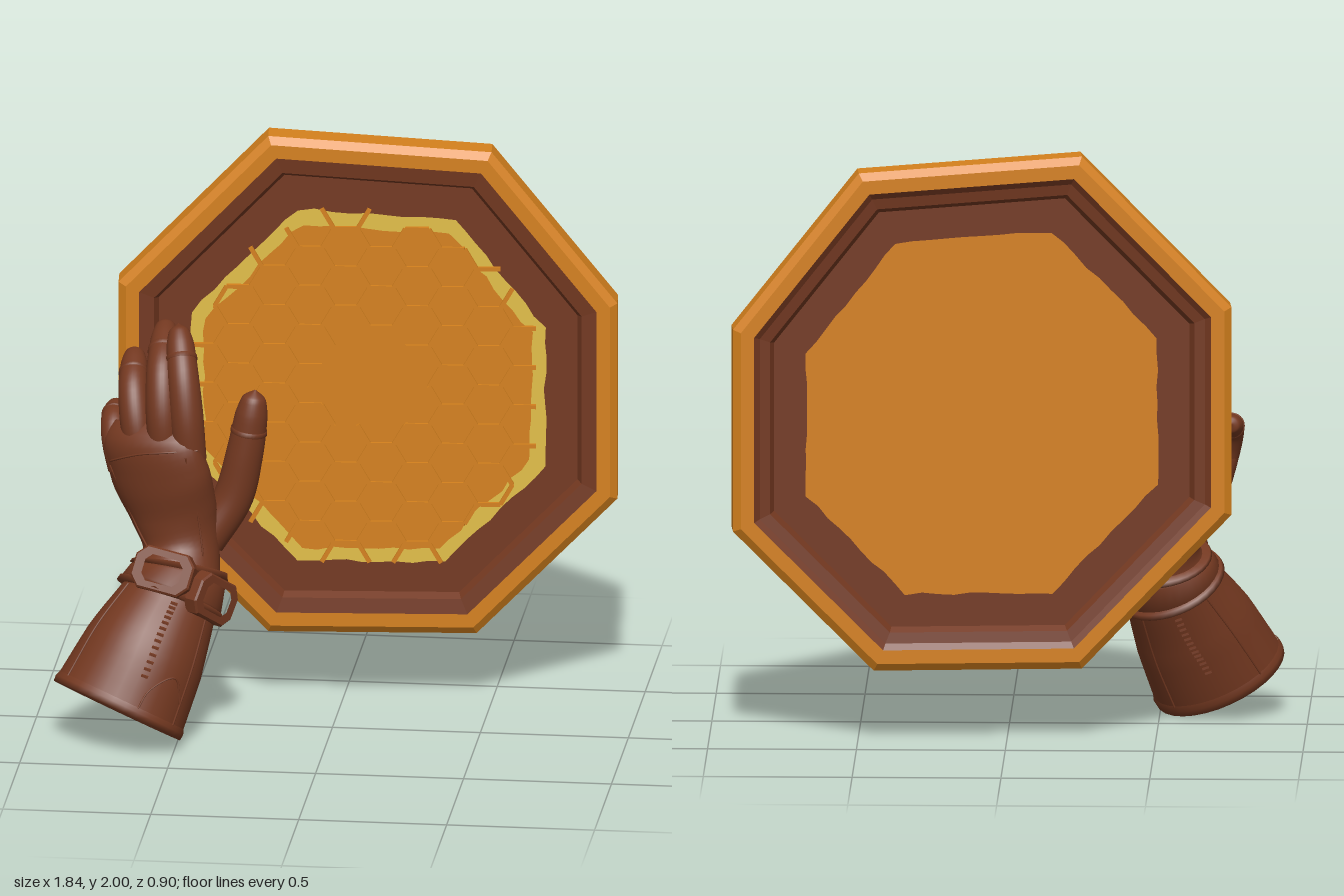
import * as THREE from 'three';
import { mergeGeometries } from 'three/addons/utils/BufferGeometryUtils.js';

const V3 = (x, y, z) => new THREE.Vector3(x, y, z);
const mat = (name, color, extra = {}) => {
  const m = new THREE.MeshStandardMaterial({ color, ...extra });
  m.name = name;
  return m;
};

// Octagon outline of the shield, in shield space (centred on x)
const OCT = [[-0.335, 2.0], [0.415, 1.95], [0.838, 1.42], [0.838, 0.73],
  [0.365, 0.25], [-0.335, 0.25], [-0.838, 0.77], [-0.838, 1.48]];
const CY = 1.12;
const octagon = s => OCT.map(([x, y]) => new THREE.Vector2(x * s, CY + (y - CY) * s));

// Facetted ring swept round the octagon; profile = [inset, z] from back to front
function octagonRing(profile) {
  const rings = profile.map(([inset, z]) => octagon(1 - inset / 0.84).map(p => [p.x, p.y, z]));
  const pos = [];
  for (let i = 0; i + 1 < rings.length; i++) for (let j = 0; j < 8; j++) {
    const k = (j + 1) % 8;
    const a = rings[i][j], b = rings[i][k], c = rings[i + 1][k], d = rings[i + 1][j];
    pos.push(...a, ...d, ...b, ...b, ...d, ...c);
  }
  const g = new THREE.BufferGeometry();
  g.setAttribute('position', new THREE.Float32BufferAttribute(pos, 3));
  g.computeVertexNormals();
  return g;
}

// Octagon face with a slightly uneven, hand-cut edge
function unevenOctagon(scale, wobble, seed) {
  let s = seed;
  const rnd = () => ((s = (s * 16807) % 2147483647) / 2147483647) - 0.5;
  const base = octagon(scale), pts = [];
  base.forEach((p, i) => {
    const q = base[(i + 1) % 8];
    for (let k = 0; k < 9; k++) {
      const v = p.clone().lerp(q, k / 9), f = 1 + rnd() * wobble;
      pts.push(new THREE.Vector2(v.x * f, CY + (v.y - CY) * f));
    }
  });
  return new THREE.ShapeGeometry(new THREE.Shape(pts));
}

function insideOctagon(x, y, s) {
  const p = octagon(s);
  return p.every((a, i) => {
    const b = p[(i + 1) % 8];
    return (b.x - a.x) * (y - a.y) - (b.y - a.y) * (x - a.x) < 0;
  });
}

// Raised honeycomb: one thin bar for each cell edge, with an open middle
function honeycomb() {
  const R = 0.08, bars = new Map();
  for (let i = -6; i <= 6; i++) for (let j = -6; j <= 6; j++) {
    const cx = 0.045 + i * 1.5 * R, cy = 1.12 + (j + (i & 1) / 2) * Math.sqrt(3) * R;
    for (let k = 0; k < 6; k++) {
      const a = (k + 0.5) * Math.PI / 3, d = R * Math.sqrt(3) / 2;
      const x = cx + d * Math.cos(a), y = cy + d * Math.sin(a);
      const key = `${Math.round(x * 200)},${Math.round(y * 200)}`;
      if (bars.has(key) || !insideOctagon(x, y, 0.69) || Math.hypot(x - 0.01, y - 1.14) < 0.19) continue;
      const g = new THREE.BoxGeometry(R, 0.014, 0.012);
      g.rotateZ(a + Math.PI / 2).translate(x, y, 0.041);
      bars.set(key, g);
    }
  }
  return mergeGeometries([...bars.values()]);
}

// Smooth limb through sections [x, y, z, half width, half depth, roll]
function limb(sections) {
  const path = new THREE.CatmullRomCurve3(sections.map(s => V3(s[0], s[1], s[2])));
  const size = new THREE.CatmullRomCurve3(sections.map(s => V3(s[3], s[4], s[5] || 0)));
  const frame = t => {
    const c = path.getPoint(t), T = path.getTangent(t), r = size.getPoint(t);
    const U = V3(1, 0, 0).addScaledVector(T, -T.x).normalize().applyAxisAngle(T, -r.z);
    return { c, T, U, V: U.clone().cross(T), rx: Math.max(r.x, 0.002), rz: Math.max(r.y, 0.002) };
  };
  const point = (t, a, off = 0) => {
    const f = frame(t);
    return f.c.addScaledVector(f.U, (f.rx + off) * Math.cos(a)).addScaledVector(f.V, (f.rz + off) * Math.sin(a));
  };
  // Skin through rows of [t, offset]
  const skin = (rows, n = 32) => {
    const pos = [], idx = [];
    rows.forEach(([t, off], i) => {
      for (let j = 0; j < n; j++) {
        pos.push(...point(t, j / n * Math.PI * 2, off).toArray());
        if (i + 1 === rows.length) continue;
        const a = i * n + j, b = i * n + (j + 1) % n;
        idx.push(a, a + n, b, b, a + n, b + n);
      }
    });
    const g = new THREE.BufferGeometry();
    g.setAttribute('position', new THREE.Float32BufferAttribute(pos, 3));
    g.setIndex(idx);
    g.computeVertexNormals();
    return g;
  };
  const body = (n = 40) => skin(Array.from({ length: n + 1 }, (_, i) => [i / n, 0]));
  const band = (t0, t1, off) => skin([[t0, -0.004], [t0 + (t1 - t0) * 0.15, off], [t1 - (t1 - t0) * 0.15, off], [t1, -0.004]]);
  const seam = (list, r) => new THREE.TubeGeometry(
    new THREE.CatmullRomCurve3(list.map(([t, a]) => point(t, a, 0.001))), 30, r, 6);
  return { frame, point, skin, body, band, seam };
}

const digit = (pts, r) => {
  const c = new THREE.CatmullRomCurve3(pts.map(p => V3(...p)));
  const us = [0, 0.3, 0.6, 0.84, 0.95, 1], fs = [1, 1.02, 0.95, 0.84, 0.6, 0.02];
  return limb(us.map((u, i) => [...c.getPoint(u).toArray(), r * fs[i], r * fs[i]]));
};

export function createModel() {
  const model = new THREE.Group();
  const amber = mat('amber', 0xd5811d), brown = mat('brown', 0x733820), yellow = mat('honey yellow', 0xe2be48);
  const lining = mat('dark lining', 0x664414, { side: THREE.DoubleSide });
  const add = (parent, name, geo, m) => {
    const mesh = new THREE.Mesh(geo, m);
    mesh.name = name;
    parent.add(mesh);
    return mesh;
  };

  // Shield
  const shield = new THREE.Group();
  shield.name = 'shield';
  shield.position.set(0.085, 0, -0.32);
  shield.rotation.y = 0.083;
  model.add(shield);
  add(shield, 'rim', octagonRing([[0.07, -0.065], [0.025, -0.065], [0, -0.045], [0, 0.045], [0.025, 0.065], [0.07, 0.065]]), amber);
  add(shield, 'frontFrame', octagonRing([[0.07, 0.065], [0.12, 0.06], [0.135, 0.03], [0.84, 0.03]]), brown);
  add(shield, 'backFrame', octagonRing([[0.84, -0.02], [0.14, -0.02], [0.125, -0.045], [0.09, -0.05], [0.07, -0.065]]), brown);
  add(shield, 'honeyEdge', unevenOctagon(0.71, 0.02, 7), yellow).position.set(0, -0.005, 0.033);
  add(shield, 'honeyPanel', unevenOctagon(0.655, 0.03, 23), amber).position.set(0, -0.005, 0.037);
  add(shield, 'honeycomb', honeycomb(), amber);
  // A half turn of the flat face, mirrored back on x so it keeps the outline
  const back = unevenOctagon(0.705, 0.015, 41);
  back.rotateY(Math.PI).scale(-1, 1, 1);
  const index = back.getIndex().array;
  for (let i = 0; i < index.length; i += 3) [index[i], index[i + 1]] = [index[i + 1], index[i]];
  back.computeVertexNormals();
  add(shield, 'backPanel', back, amber).position.z = -0.024;

  // Glove: flared cuff, wrist and palm in one skin
  const glove = new THREE.Group();
  glove.name = 'glove';
  model.add(glove);
  const arm = limb([
    [-0.70, 0.115, 0.25, 0.235, 0.205], [-0.615, 0.30, 0.175, 0.21, 0.19], [-0.545, 0.45, 0.09, 0.168, 0.155],
    [-0.515, 0.54, 0.045, 0.145, 0.135], [-0.51, 0.63, 0.01, 0.13, 0.11, 0.15], [-0.535, 0.74, 0, 0.155, 0.105, 0.3],
    [-0.58, 0.88, 0.015, 0.187, 0.095, 0.38], [-0.61, 0.99, 0.025, 0.18, 0.075, 0.38], [-0.61, 1.06, 0.01, 0.135, 0.03, 0.38]]);
  add(glove, 'cuffAndPalm', arm.body(), brown);
  add(glove, 'cuffHem', arm.skin([[0.03, -0.05], [0.012, -0.045], [0, -0.02], [0, 0.001], [0.012, 0.005], [0.022, 0.001]]), brown);
  add(glove, 'cuffLining', arm.skin([[0.02, -0.048], [0.1, -0.045], [0.2, -0.04], [0.22, -0.15]]), lining);
  add(glove, 'wristStrap', arm.band(0.27, 0.39, 0.018), brown);
  add(glove, 'strapLowerEdge', arm.band(0.255, 0.285, 0.024), brown);
  add(glove, 'strapUpperEdge', arm.band(0.38, 0.41, 0.026), brown);

  // Fingers and thumb
  const digits = {
    indexFinger: [[[-0.475, 0.95, 0.06], [-0.495, 1.18, 0.045], [-0.53, 1.38, -0.085]], 0.056],
    middleFinger: [[[-0.56, 0.95, 0.045], [-0.575, 1.2, 0.015], [-0.585, 1.35, -0.21]], 0.056],
    ringFinger: [[[-0.645, 0.93, 0.01], [-0.675, 1.13, -0.025], [-0.69, 1.25, -0.2]], 0.053],
    littleFinger: [[[-0.715, 0.88, -0.025], [-0.745, 1.01, -0.055], [-0.75, 1.06, -0.19]], 0.046],
    thumb: [[[-0.43, 0.64, -0.02], [-0.335, 0.8, -0.045], [-0.295, 0.98, -0.04], [-0.265, 1.17, -0.04]], 0.066],
  };
  for (const [name, [pts, r]] of Object.entries(digits)) {
    const d = digit(pts, r);
    add(glove, name, d.body(28), brown);
    add(glove, name + 'Seam', d.band(0.5, 0.53, 0.003), brown);
  }

  // Eight-sided strap buckles
  const outline = s => [[-0.1, 0.035], [-0.07, 0.068], [0.07, 0.068], [0.1, 0.035], [0.1, -0.035], [0.07, -0.068],
    [-0.07, -0.068], [-0.1, -0.035]].map(([x, y]) => new THREE.Vector2(x * s, y * s));
  const frameShape = new THREE.Shape(outline(1));
  frameShape.holes.push(new THREE.Path(outline(0.68)));
  const buckleGeo = new THREE.ExtrudeGeometry(frameShape, { depth: 0.045, bevelSize: 0.006, bevelThickness: 0.006, bevelSegments: 1 });
  for (const [name, t, a] of [['frontBuckle', 0.345, 1.75], ['sideBuckle', 0.31, 0.55]]) {
    const f = arm.frame(t);
    const out = f.U.clone().multiplyScalar(Math.cos(a)).addScaledVector(f.V, Math.sin(a));
    const side = f.T.clone().cross(out).normalize();
    const b = add(glove, name, buckleGeo, brown);
    b.quaternion.setFromRotationMatrix(new THREE.Matrix4().makeBasis(side, f.T, out));
    b.position.copy(arm.point(t, a, -0.012));
  }

  // Stitching and seams
  const seams = [
    [[0.02, 0.5], [0.13, 0.5], [0.25, 0.5]], [[0.02, 2.5], [0.13, 2.5], [0.25, 2.5]],
    [[0.02, 3.9], [0.13, 3.9], [0.25, 3.9]], [[0.02, 5.4], [0.13, 5.4], [0.25, 5.4]],
    [[0.06, 0.5], [0.1, 0.8], [0.06, 1.15], [0.02, 1.2]],
    [[0.84, 0.15], [0.86, 1.0], [0.86, 1.6], [0.84, 2.3], [0.81, 3.0]],
    [[0.45, 2.3], [0.6, 2.4], [0.82, 2.5]], [[0.45, 0.8], [0.6, 0.7], [0.83, 0.6]]];
  seams.forEach((s, i) => add(glove, 'seam' + (i + 1), arm.seam(s, 0.0035), brown));
  for (const [name, a] of [['frontStitching', 1.3], ['backStitching', 4.6]]) {
    const stitches = Array.from({ length: 13 }, (_, i) => {
      const p = arm.point(0.08 + i * 0.013, a, 0.002);
      return new THREE.BoxGeometry(0.024, 0.007, 0.012).rotateZ(-0.35).translate(p.x, p.y, p.z);
    });
    add(glove, name, mergeGeometries(stitches), brown);
  }
  return model;
}
